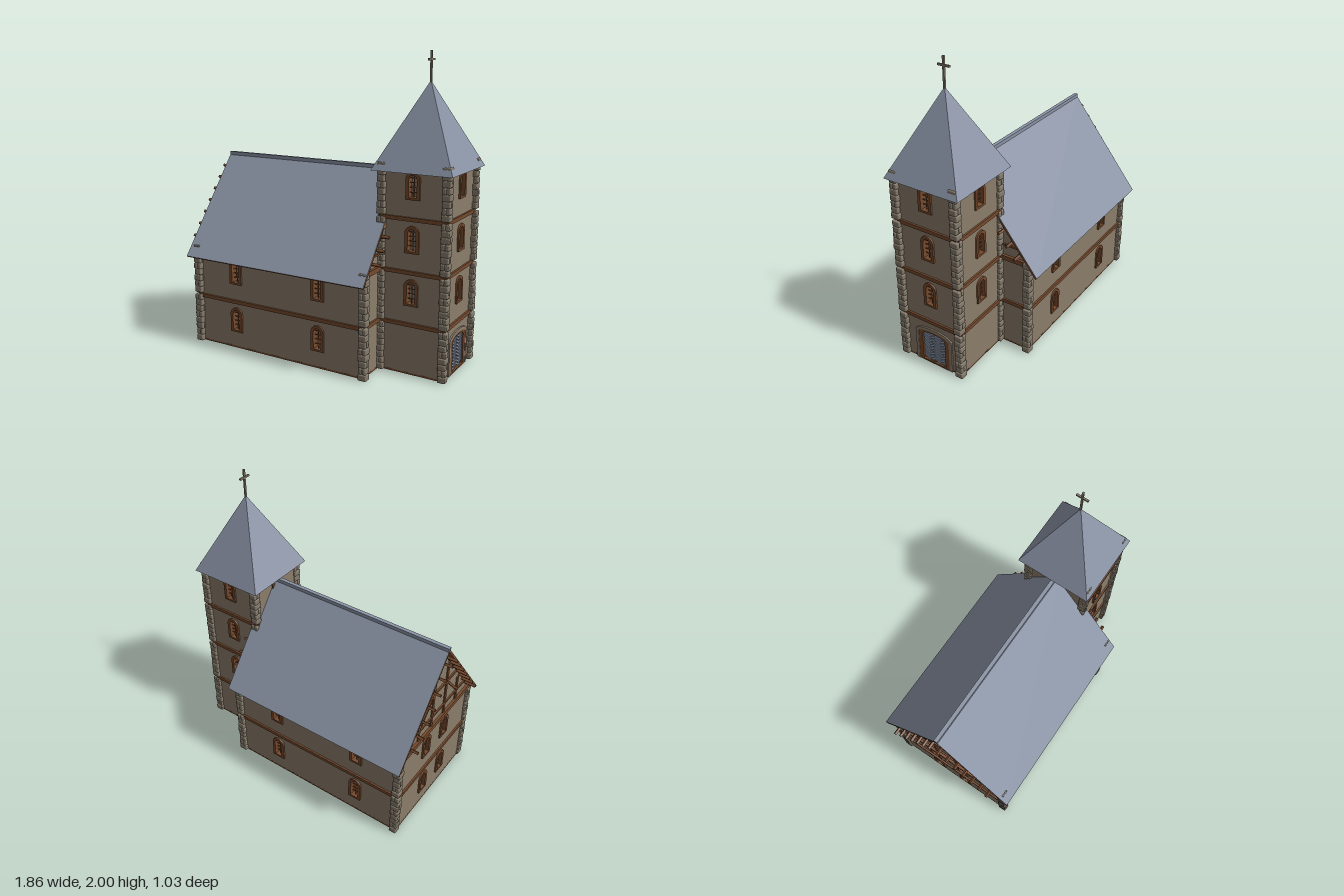
import * as THREE from 'three';
import { mergeGeometries } from 'three/addons/utils/BufferGeometryUtils.js';
import { RoundedBoxGeometry } from 'three/addons/geometries/RoundedBoxGeometry.js';

const mat = (name, color) => Object.assign(new THREE.MeshStandardMaterial({ color }), { name });

export function createModel() {
  const plaster = mat('plaster', 0x8b7d6b);
  const timber = mat('timber', 0x764a2e);
  const slate = mat('slate', 0x8a93a5);
  const stone = mat('stone', 0x857b6b);
  const iron = mat('blue iron', 0x8494ac);
  const model = new THREE.Group();
  model.name = 'church';

  const add = (parent, name, geo, material, x = 0, y = 0, z = 0) => {
    const m = new THREE.Mesh(geo, material);
    m.name = name;
    m.position.set(x, y, z);
    parent.add(m);
    return m;
  };
  const box = (parent, name, material, w, h, d, x, y, z) =>
    add(parent, name, new THREE.BoxGeometry(w, h, d), material, x, y, z);

  let seed = 7;
  const rnd = () => (seed = (seed * 16807) % 2147483647) / 2147483647;

  // Arched outline: straight sides, then an arch of the given rise
  const arch = (w, h, rise, x = 0, y = 0, Type = THREE.Shape) => {
    const s = new Type();
    s.moveTo(x - w / 2, y);
    s.lineTo(x + w / 2, y);
    s.lineTo(x + w / 2, y + h - rise);
    s.absellipse(x, y + h - rise, w / 2, rise, 0, Math.PI, false);
    s.closePath();
    return s;
  };
  const extrude = (shape, depth, z = 0) =>
    new THREE.ExtrudeGeometry(shape, { depth, bevelEnabled: false, curveSegments: 8 }).translate(0, 0, z);
  const ring = (w, h, rise, side, top, bottom, depth, z) => {
    const s = arch(w, h, rise);
    s.holes.push(arch(w - 2 * side, h - top - bottom, Math.max(rise - top * 0.6, 0.01), 0, bottom, THREE.Path));
    return extrude(s, depth, z);
  };

  // Window: deep arched frame and glazing bars in an open hole
  const frameGeo = ring(0.094, 0.172, 0.045, 0.02, 0.018, 0.014, 0.052, -0.04);
  const barGeo = mergeGeometries([
    new THREE.BoxGeometry(0.005, 0.15, 0.006).translate(0, 0.085, 0),
    ...[0.045, 0.075, 0.105, 0.132].map(y => new THREE.BoxGeometry(0.058, 0.004, 0.006).translate(0, y, 0)),
  ]);

  // Facade: outer face on local z = 0, with window holes and timber bands
  function facade(name, points, x, z, turn, windows, bands, doorway) {
    const g = new THREE.Group();
    g.name = name;
    g.position.set(x, 0, z);
    g.rotation.y = turn;
    model.add(g);
    const shape = new THREE.Shape(points.map(p => new THREE.Vector2(...p)));
    for (const [u, y] of windows) {
      shape.holes.push(arch(0.08, 0.158, 0.038, u, y + 0.007, THREE.Path));
      add(g, 'windowFrame', frameGeo, timber, u, y);
      add(g, 'windowBars', barGeo, timber, u, y, -0.012);
    }
    if (doorway) shape.holes.push(arch(0.23, 0.245, 0.03, 0, 0.002, THREE.Path));
    add(g, 'wall', extrude(shape, 0.025, -0.025), plaster);
    const width = points[1][0] - points[0][0];
    for (const y of bands) box(g, 'timberBand', timber, width, 0.025, 0.024, 0, y, 0);
    return g;
  }
  const rect = (half, top) => [[-half, 0], [half, 0], [half, top], [-half, top]];
  const quarter = Math.PI / 2;

  // Nave walls
  const naveX = -0.2025, naveL = 0.6475, naveW = 0.435;
  const grid = u => [[-u, 0.117], [u, 0.117], [-u, 0.453], [u, 0.453]];
  for (const s of [1, -1])
    facade('naveSideWall', rect(naveL, 0.675), naveX, s * naveW, s > 0 ? 0 : Math.PI, grid(0.3225), [0.33, 0.665]);

  // Gable ends with half timbering
  const gable = [[-naveW, 0], [naveW, 0], [naveW, 0.675], [0, 1.225], [-naveW, 0.675]];
  const pitch = Math.atan2(0.55, naveW);
  for (const s of [1, -1]) {
    const g = facade('gableEnd', gable, naveX + s * naveL, 0, s * quarter, s < 0 ? grid(0.115) : [], [0.33]);
    box(g, 'gableSill', timber, 0.91, 0.032, 0.036, 0, 0.668, 0);
    box(g, 'lowerTie', timber, 0.7, 0.012, 0.02, 0, 0.76, 0);
    if (s < 0) {
      box(g, 'upperTie', timber, 0.4, 0.018, 0.02, 0, 0.95, 0);
      for (const u of [-0.24, -0.08, 0.08, 0.24])
        box(g, 'post', timber, 0.02, Math.abs(u) > 0.1 ? 0.21 : 0.42, 0.018, u, Math.abs(u) > 0.1 ? 0.77 : 0.88, 0);
    }
    for (const m of [1, -1]) {
      box(g, 'gableRafter', timber, 0.69, 0.008, 0.022, m * 0.2145, 0.949, 0).rotation.z = -m * pitch;
      if (s < 0) box(g, 'brace', timber, 0.2, 0.016, 0.018, m * 0.16, 0.86, 0).rotation.z = -m * 0.85;
    }
  }

  // Tower walls, three windows on each outer face and a door below on +x
  const tx = 0.664, th = 0.22;
  const upper = [[0, 0.453], [0, 0.788], [0, 1.12]], bands = [0.33, 0.665, 1.0];
  facade('towerFront', rect(th, 1.286), tx, th, 0, upper, bands);
  facade('towerBack', rect(th, 1.286), tx, -th, Math.PI, upper, bands);
  facade('towerInnerWall', rect(th, 1.286), tx - th, 0, -quarter, [upper[2]], [1.0]);
  const entry = facade('towerEntranceWall', rect(th, 1.286), tx + th, 0, quarter, upper, bands, true);

  // Door: plaster surround, timber frame, herringbone leaf
  const door = new THREE.Group();
  door.name = 'door';
  door.position.x = 0.008;
  entry.add(door);
  add(door, 'doorSurround', ring(0.285, 0.272, 0.045, 0.022, 0.022, 0.001, 0.012, -0.002), plaster);
  add(door, 'doorFrame', ring(0.242, 0.25, 0.035, 0.033, 0.012, 0.01, 0.03, -0.022), timber);
  add(door, 'doorLeaf', extrude(arch(0.2, 0.242, 0.025), 0.012, -0.018), timber);
  const slats = [];
  for (let c = 0; c < 4; c++)
    for (let r = 0; r < 10; r++)
      slats.push(new THREE.BoxGeometry(0.05, 0.0125, 0.006).rotateZ(c % 2 ? 0.55 : -0.55)
        .translate((c - 1.5) * 0.043, 0.027 + r * 0.0216, -0.004));
  add(door, 'herringboneSlats', mergeGeometries(slats), iron);

  // Corner stones: rows of one long or two short blocks, in storeys
  function quoin(x, z, storeys, rowHeight, storeyHeight) {
    const stones = [];
    for (let k = 0; k < storeys; k++)
      for (let r = 0; r < 8; r++) {
        const y = k * storeyHeight + (r + 0.5) * rowHeight;
        const w = 0.05 + rnd() * 0.009, d = 0.05 + rnd() * 0.009;
        const put = (a, b, dx, dz) => stones.push(
          new RoundedBoxGeometry(a, rowHeight - 0.001, b, 1, 0.007).translate(x + dx, y, z + dz));
        if (r % 3 === 0) put(w, d, 0, 0);
        else if (r % 3 === 1) { put(w / 2, d, -w / 4, 0); put(w / 2, d, w / 4, 0); }
        else { put(w, d / 2, 0, -d / 4); put(w, d / 2, 0, d / 4); }
      }
    add(model, 'cornerStones', mergeGeometries(stones), stone);
  }
  for (const z of [1, -1]) {
    for (const x of [-0.838, 0.454]) quoin(x, z * 0.436 + 0.004, 2, 0.0425, 0.35);
    for (const x of [0.456, 0.885]) quoin(x, z * 0.217 + 0.004, 4, 0.0406, 0.338);
  }

  // Nave roof: thin slate over timber boards on each slope, purlins and ridge cap
  const rise = 0.645, run = 0.508, slope = Math.atan2(rise, run), len = Math.hypot(rise, run);
  for (const s of [1, -1]) {
    const g = new THREE.Group();
    g.name = 'roofSlope';
    g.position.set(-0.2, 0.615 + rise / 2, s * run / 2);
    g.rotation.x = s * slope;
    model.add(g);
    box(g, 'roofSlates', slate, 1.37, 0.002, len, 0, 0.005, 0);
    box(g, 'roofBoards', timber, 1.371, 0.013, len + 0.002, 0, -0.0025, 0);
    for (let i = 0; i < 7; i++)
      box(model, 'purlin', timber, 1.46, 0.016, 0.016, -0.2, 1.175 - i * 0.0742, s * (0.032 + i * 0.0572)).rotation.x = s * slope;
  }
  box(model, 'ridgeCap', slate, 1.33, 0.024, 0.026, -0.22, 1.266, 0);

  // Spire and cross
  const spire = new THREE.ConeGeometry(0.267 * Math.SQRT2, 0.535, 4, 1).rotateY(Math.PI / 4).toNonIndexed();
  spire.computeVertexNormals();
  add(model, 'spire', spire, slate, tx, 1.5525, 0);
  box(model, 'crossPost', stone, 0.012, 0.2, 0.012, tx, 1.9, 0);
  box(model, 'crossArm', stone, 0.012, 0.012, 0.084, tx, 1.945, 0);

  // Floors
  box(model, 'naveFloor', timber, 1.296, 0.012, 0.871, naveX, 0.0055, 0);
  box(model, 'towerFloor', timber, 0.441, 0.012, 0.441, tx, 0.005, 0);
  return model;
}
